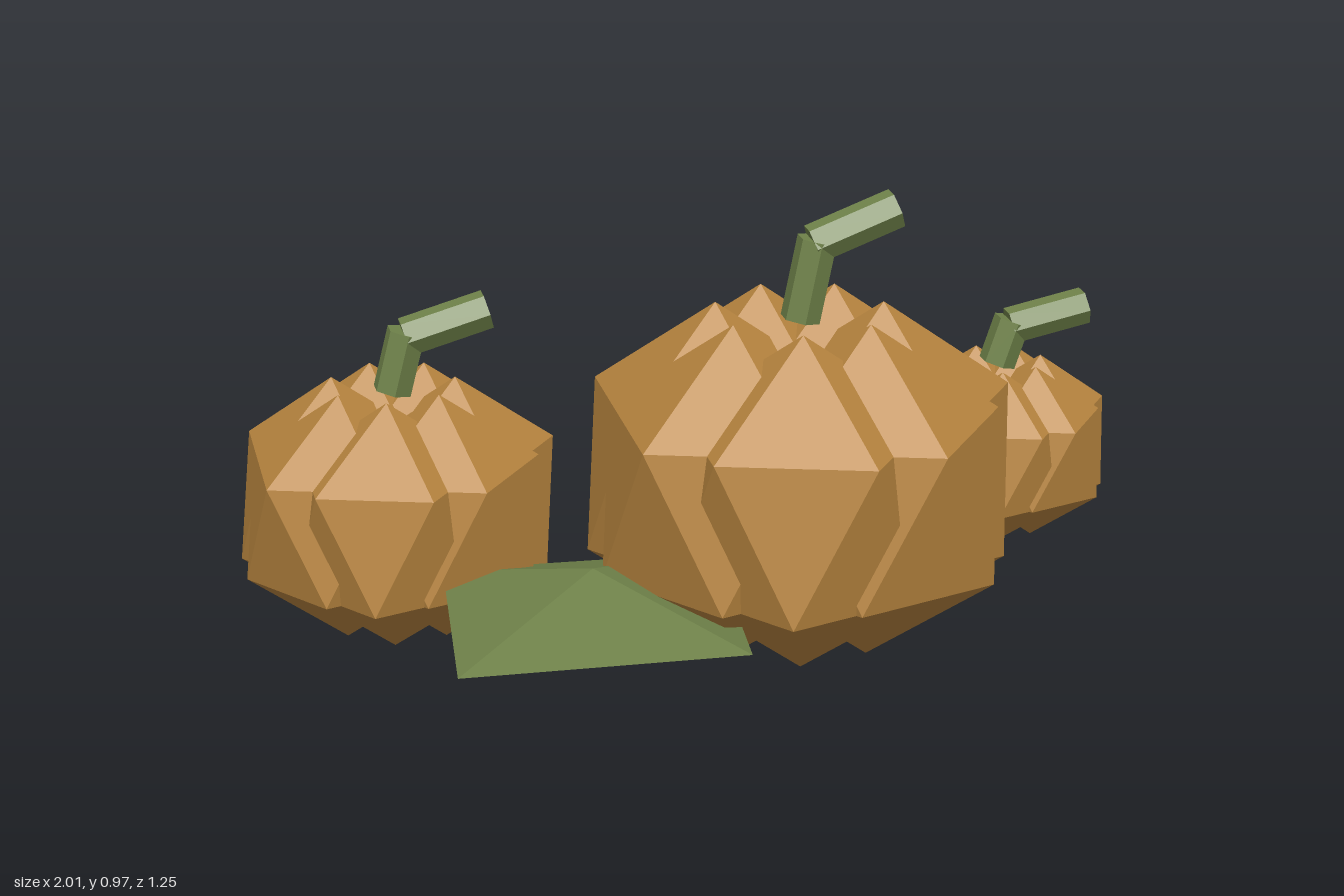
import * as THREE from 'three';
import { ConvexGeometry } from 'three/addons/geometries/ConvexGeometry.js';

const SEGMENTS = 7;

// Unit icosahedron standing on a point, upper ring turned half a step from the lower one.
function lobeGeometry() {
  const points = [new THREE.Vector3(0, 1, 0), new THREE.Vector3(0, -1, 0)];
  const h = 1 / Math.sqrt(5);
  const r = 2 / Math.sqrt(5);
  for (let i = 0; i < 5; i++) {
    const a = (i * Math.PI * 2) / 5;
    points.push(new THREE.Vector3(r * Math.cos(a), h, r * Math.sin(a)));
    points.push(new THREE.Vector3(-r * Math.cos(a), -h, r * Math.sin(a)));
  }
  return new ConvexGeometry(points);
}

// Six-sided rod between two points in the xy plane, corners pointing to +z and -z.
function rod(from, to, material, name) {
  const a = new THREE.Vector2(...from);
  const b = new THREE.Vector2(...to);
  const d = b.clone().sub(a);
  const mesh = new THREE.Mesh(new THREE.CylinderGeometry(0.0425, 0.0425, d.length(), 6), material);
  mesh.position.set((a.x + b.x) / 2, (a.y + b.y) / 2, 0);
  mesh.rotation.z = Math.atan2(d.y, d.x) - Math.PI / 2;
  mesh.name = name;
  return mesh;
}

export function createModel() {
  const pumpkinSkin = new THREE.MeshStandardMaterial({ color: 0xb8853f, flatShading: true });
  pumpkinSkin.name = 'pumpkinSkin';
  const stemGreen = new THREE.MeshStandardMaterial({ color: 0x70834a, flatShading: true });
  stemGreen.name = 'stemGreen';

  const model = new THREE.Group();
  model.name = 'pumpkinPatch';
  const lobe = lobeGeometry();

  // Stem points are x offsets from the pumpkin centre and heights above the ground.
  const pumpkins = [
    { name: 'largePumpkin', x: 0.143, z: 0.105, s: 1,
      lower: [[0, 0.714], [0.035, 0.885]], upper: [[0.025, 0.874], [0.204, 0.94]] },
    { name: 'mediumPumpkin', x: -0.676, z: -0.158, s: 0.747,
      lower: [[0, 0.533], [0.034, 0.663]], upper: [[0.03, 0.65], [0.207, 0.699]] },
    { name: 'smallPumpkin', x: 0.746, z: -0.387, s: 0.556,
      lower: [[-0.004, 0.404], [0.03, 0.505]], upper: [[0.022, 0.49], [0.202, 0.526]] },
  ];

  for (const p of pumpkins) {
    const group = new THREE.Group();
    group.name = p.name;
    group.position.set(p.x, 0, p.z);

    // Ring of overlapping lobes, all facing the same way
    for (let i = 0; i < SEGMENTS; i++) {
      const a = (i * Math.PI * 2) / SEGMENTS;
      const mesh = new THREE.Mesh(lobe, pumpkinSkin);
      mesh.name = 'lobe';
      mesh.scale.set(0.311 * p.s, 0.366 * p.s, 0.311 * p.s);
      mesh.position.set(0.18 * p.s * Math.cos(a), 0.007 + 0.366 * p.s, 0.18 * p.s * Math.sin(a));
      group.add(mesh);
    }

    // Bent stem
    group.add(rod(...p.lower, stemGreen, 'lowerStem'));
    group.add(rod(...p.upper, stemGreen, 'upperStem'));
    model.add(group);
  }

  // Leaf: low, tilted four-sided pyramid
  const leaf = new THREE.Mesh(
    new ConvexGeometry([
      new THREE.Vector3(-0.67, 0.215, 0.62),
      new THREE.Vector3(-0.605, 0.185, 0.01),
      new THREE.Vector3(0.01, 0.117, -0.11),
      new THREE.Vector3(-0.055, 0.147, 0.5),
      new THREE.Vector3(-0.33, 0.26, 0.25),
    ]),
    stemGreen
  );
  leaf.name = 'leaf';
  model.add(leaf);

  return model;
}
